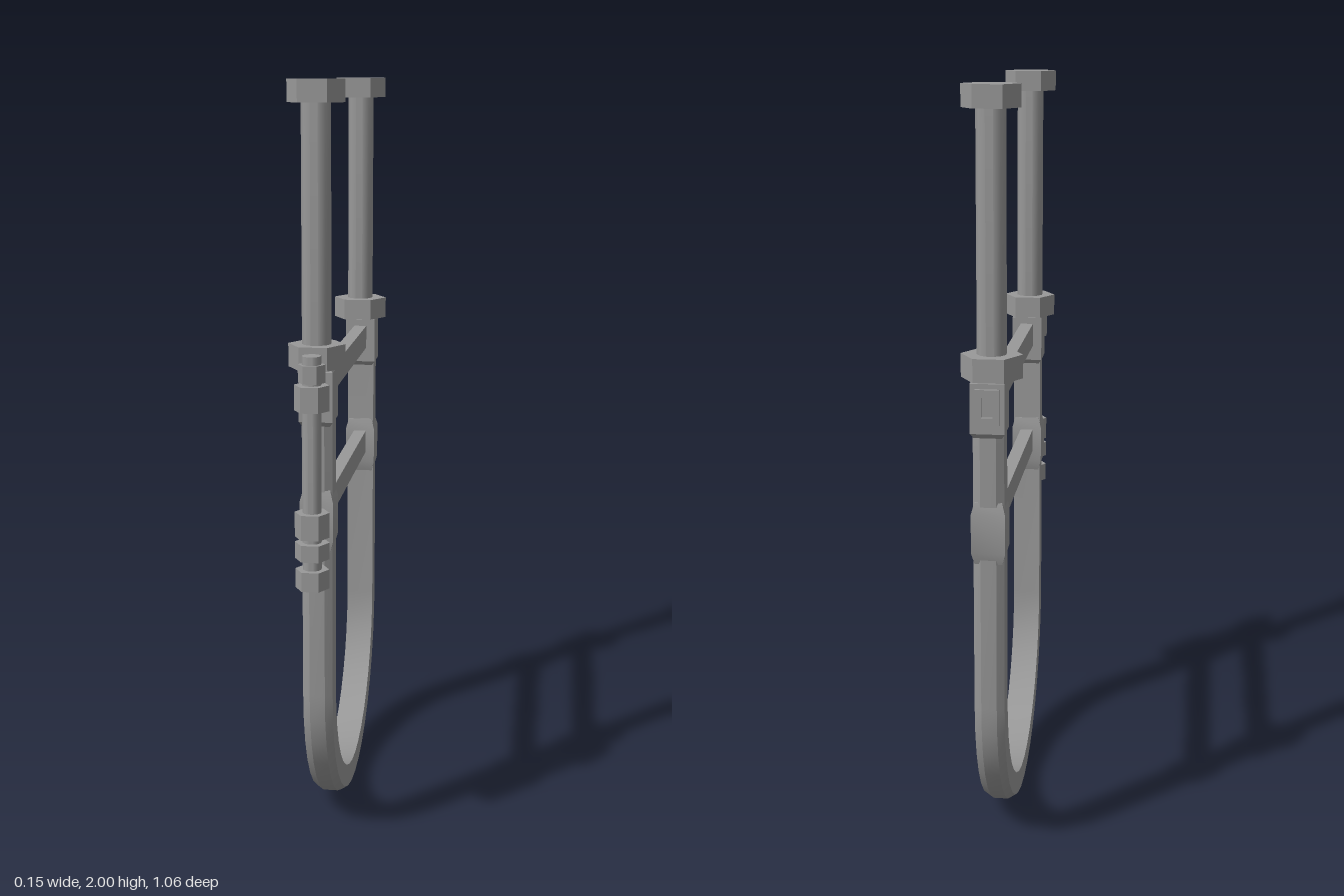
import * as THREE from 'three';
import { toCreasedNormals } from 'three/addons/utils/BufferGeometryUtils.js';

const mat = new THREE.MeshStandardMaterial({ color: 0x999999 });
const X = 0.005; // slight sideways offset of frame and clamp

// Curved runs stay smooth, corners stay sharp
function add(group, name, geo, x = 0, y = 0, z = 0) {
  const mesh = new THREE.Mesh(toCreasedNormals(geo, 0.54), mat);
  mesh.name = name;
  mesh.position.set(x, y, z);
  group.add(mesh);
  return mesh;
}

// Upright prism between two heights; six-sided ones point along x
function prism(group, name, r, y0, y1, x, z, sides = 6) {
  const geo = new THREE.CylinderGeometry(r, r, y1 - y0, sides);
  geo.rotateY(Math.PI / sides);
  return add(group, name, geo, x, (y0 + y1) / 2, z);
}

function rectangle(w, h) {
  return [[-w, -h], [w, -h], [w, h], [-w, h]].map(p => new THREE.Vector2(...p));
}

// Rectangular sleeve around a leg, its ends tapering over a height t
function sleeve(group, name, z0, z1, y0, y1, t) {
  const b = 0.008;
  const shape = new THREE.Shape(rectangle(0.043 - b, (z1 - z0) / 2 - b));
  const geo = new THREE.ExtrudeGeometry(shape, {
    depth: y1 - y0 - 2 * t, bevelThickness: t, bevelSize: b, bevelSegments: 1,
  });
  geo.rotateX(-Math.PI / 2);
  return add(group, name, geo, X, y0 + t, (z0 + z1) / 2);
}

// U-shaped bar: a section with chamfered outer corners swept along legs and arc
function uBarGeometry() {
  const zc = -0.043, yc = 0.434, rz = 0.43, ry = 0.398, segs = 18, top = 1.31;
  const section = [[-0.039, -0.036], [0.039, -0.036], [0.039, 0.024],
    [0.02, 0.036], [-0.02, 0.036], [-0.039, 0.024]];
  const path = [[zc + rz, top, 1, 0]]; // z, y, outward z, outward y
  for (let i = 0; i <= segs; i++) {
    const a = Math.PI * i / segs, c = Math.cos(a), s = Math.sin(a);
    const n = new THREE.Vector2(c / rz, -s / ry).normalize();
    path.push([zc + rz * c, yc - ry * s, n.x, n.y]);
  }
  path.push([zc - rz, top, -1, 0]);
  const pos = [], idx = [], m = section.length;
  path.forEach(([z, y, nz, ny], i) => {
    section.forEach(([x, n], j) => {
      pos.push(x + X, y + ny * n, z + nz * n);
      if (i === path.length - 1) return;
      const a = i * m + j, b = i * m + (j + 1) % m;
      idx.push(a, b, b + m, a, b + m, a + m);
    });
  });
  const geo = new THREE.BufferGeometry();
  geo.setAttribute('position', new THREE.Float32BufferAttribute(pos, 3));
  geo.setIndex(idx);
  return geo;
}

export function createModel() {
  const model = new THREE.Group();
  model.name = 'uBoltFrame';
  add(model, 'uBar', uBarGeometry());

  // Upright rods with hexagonal heads and collars
  for (const [side, z, collar] of [['front', 0.381, 0.072], ['back', -0.465, 0.077]]) {
    prism(model, side + 'Rod', 0.037, 1.3, 1.96, 0, z, 12);
    prism(model, side + 'Head', 0.072, 1.945, 2, 0, z);
    prism(model, side + 'Collar', collar, 1.298, 1.357, 0, z);
  }

  // Sleeves on the legs
  sleeve(model, 'frontUpperSleeve', 0.342, 0.433, 1.155, 1.305, 0.012);
  sleeve(model, 'backUpperSleeve', -0.518, -0.428, 1.155, 1.305, 0.012);
  sleeve(model, 'frontLowerSleeve', 0.342, 0.43, 0.827, 0.988, 0.03);
  sleeve(model, 'backLowerSleeve', -0.514, -0.425, 0.827, 0.988, 0.03);

  // Slotted plate on the back of the upper sleeve
  const plate = new THREE.Shape(rectangle(0.03, 0.045));
  plate.holes.push(new THREE.Path(rectangle(0.014, 0.025)));
  add(model, 'slottedPlate', new THREE.ExtrudeGeometry(plate, { depth: 0.012, bevelEnabled: false }),
    X, 1.235, -0.527);

  // Crossbars, and the short arms joining them to the clamp
  for (const [level, y] of [['upper', 1.242], ['lower', 0.92]]) {
    add(model, level + 'Crossbar', new THREE.BoxGeometry(0.036, 0.066, 0.8), X, y, -0.043);
    add(model, level + 'ClampArm', new THREE.BoxGeometry(0.03, 0.036, 0.09), X, y, 0.45);
    prism(model, level + 'ClampEye', 0.044, y - 0.032, y + 0.032, X, 0.494);
  }

  // Clamp bolt with its nuts
  const clamp = new THREE.Group();
  clamp.name = 'clampBolt';
  model.add(clamp);
  prism(clamp, 'clampRod', 0.024, 0.78, 1.346, X, 0.494, 12);
  prism(clamp, 'clampTopNut', 0.034, 1.28, 1.325, X, 0.494);
  prism(clamp, 'clampLowerNut', 0.044, 0.832, 0.875, X, 0.494);
  prism(clamp, 'clampHead', 0.043, 0.755, 0.805, X, 0.494);

  return model;
}
